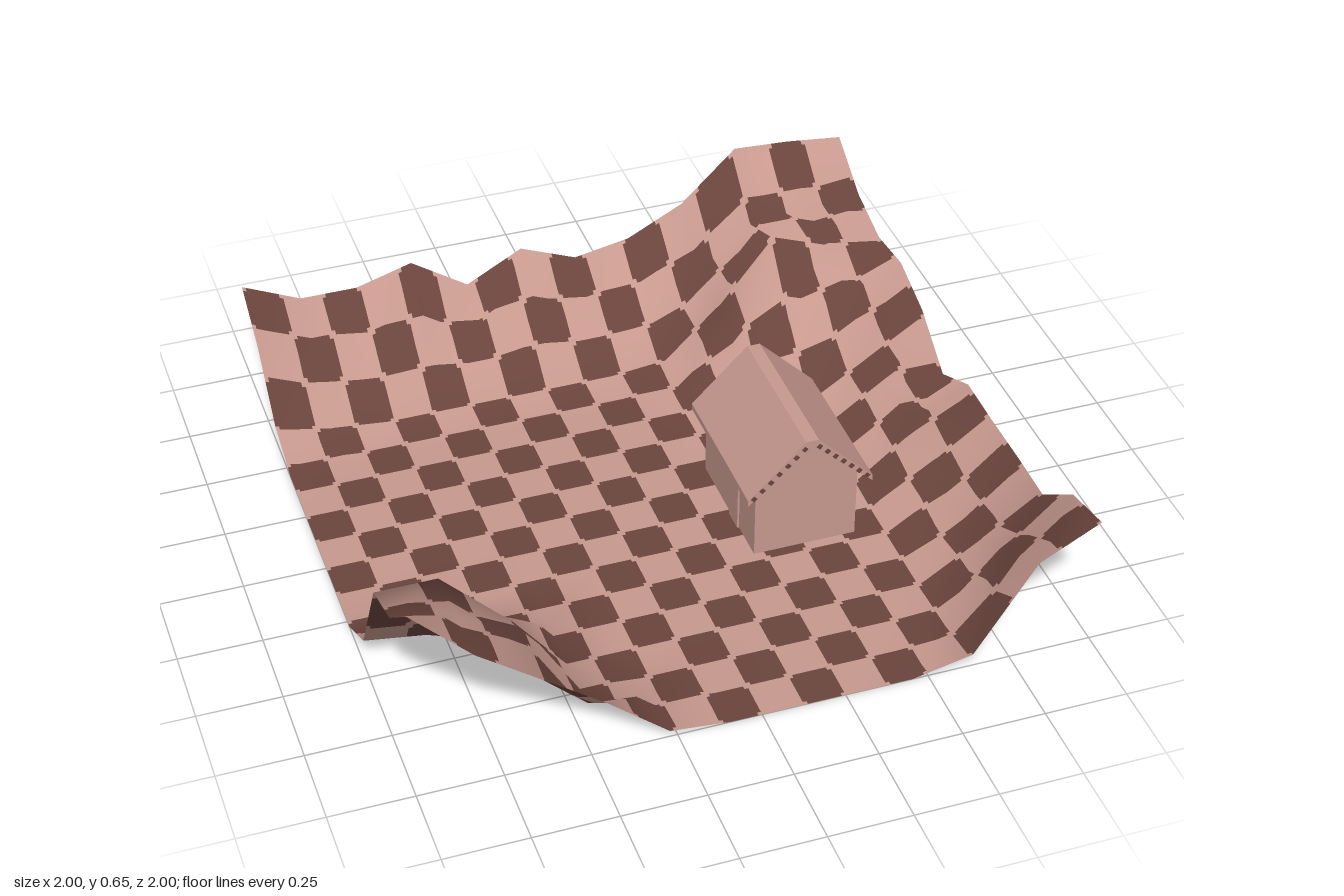
import * as THREE from 'three';

const material = (name, color, side = THREE.FrontSide) => {
  const m = new THREE.MeshStandardMaterial({ color, side });
  m.name = name;
  return m;
};

// Ground heights: 12 rows from back (z = -1) to front, 12 columns from x = -1 to 1
const N = 11;
const HEIGHTS = [
  [.345, .26, .26, .315, .19, .29, .215, .25, .345, .52, .51, .49],
  [.24, .16, .13, .14, .11, .14, .11, .12, .20, .36, .36, .38],
  [.06, .02, 0, 0, 0, 0, 0, .02, .20, .43, .36, .33],
  [0, 0, 0, 0, 0, 0, 0, 0, .11, .22, .27, .35],
  [0, 0, 0, 0, 0, 0, 0, 0, .03, .05, .17, .29],
  [0, 0, 0, 0, 0, 0, 0, 0, .03, .04, .17, .17],
  [0, 0, 0, 0, 0, 0, 0, 0, .01, .01, .16, .26],
  [0, 0, 0, 0, 0, 0, 0, 0, 0, 0, .12, .255],
  [.1, .07, 0, 0, 0, 0, 0, 0, 0, 0, .09, .255],
  [.43, .43, .24, 0, 0, 0, 0, 0, 0, 0, .12, .25],
  [.49, .45, .34, .02, 0, 0, 0, 0, 0, .01, .22, .39],
  [.65, .46, .32, .18, .02, 0, 0, 0, 0, .04, .33, .43],
];

function createGround(materials) {
  // Coarse surface supplies heights and smooth normals
  const coarse = new THREE.PlaneGeometry(2, 2, N, N).rotateX(-Math.PI / 2);
  const cp = coarse.attributes.position;
  HEIGHTS.flat().forEach((h, i) => cp.setY(i, h));
  coarse.computeVertexNormals();
  const cn = coarse.attributes.normal;
  const corner = (i, j) => {
    const k = j * (N + 1) + i;
    return [cp.getY(k), cn.getX(k), cn.getY(k), cn.getZ(k)];
  };
  const sample = (u, v) => {
    const i = Math.min(Math.floor(u), N - 1), j = Math.min(Math.floor(v), N - 1);
    const s = u - i, t = v - j;
    const b = corner(i, j + 1), d = corner(i + 1, j);
    if (s + t <= 1) {
      const a = corner(i, j);
      return a.map((q, k) => q + s * (d[k] - q) + t * (b[k] - q));
    }
    const c = corner(i + 1, j + 1);
    return c.map((q, k) => q + (1 - s) * (b[k] - q) + (1 - t) * (d[k] - q));
  };

  // Fine grid lines up with both the coarse squares and the 16 x 16 checks
  const CHECKS = 16, SUB = 11, M = CHECKS * SUB;
  const positions = [], normals = [], light = [], dark = [];
  for (let j = 0; j <= M; j++) {
    for (let i = 0; i <= M; i++) {
      const [h, nx, ny, nz] = sample(i / CHECKS, j / CHECKS);
      positions.push(-1 + 2 * i / M, h, -1 + 2 * j / M);
      const l = Math.hypot(nx, ny, nz);
      normals.push(nx / l, ny / l, nz / l);
    }
  }
  for (let j = 0; j < M; j++) {
    for (let i = 0; i < M; i++) {
      const odd = (Math.floor(i / SUB) + Math.floor(j / SUB)) % 2;
      const eu = Math.min(i % SUB, SUB - 1 - i % SUB);
      const ev = Math.min(j % SUB, SUB - 1 - j % SUB);
      const list = odd || eu + ev < 1 ? light : dark; // dark checks lose their corners
      const a = j * (M + 1) + i, b = a + M + 1;
      list.push(a, b, a + 1, b, b + 1, a + 1);
    }
  }
  const g = new THREE.BufferGeometry();
  g.setAttribute('position', new THREE.Float32BufferAttribute(positions, 3));
  g.setAttribute('normal', new THREE.Float32BufferAttribute(normals, 3));
  g.setIndex([...light, ...dark]);
  g.addGroup(0, light.length, 0);
  g.addGroup(light.length, dark.length, 1);
  const mesh = new THREE.Mesh(g, materials);
  mesh.name = 'checkedGround';
  return mesh;
}

function createHouse(pale, brown) {
  const house = new THREE.Group();
  house.name = 'house';
  const add = (name, geometry, mat) => {
    const mesh = new THREE.Mesh(geometry, mat);
    mesh.name = name;
    house.add(mesh);
  };
  const extrude = (points, depth, z) => new THREE.ExtrudeGeometry(
    new THREE.Shape(points.map(p => new THREE.Vector2(...p))),
    { depth, bevelEnabled: false }).translate(0, 0, z);

  // Gabled walls
  add('walls', extrude([[-.16, 0], [.16, 0], [.16, .24], [0, .39], [-.16, .24]], .43, -.215), pale);
  // Roof with overhanging eaves and gables
  add('roof', extrude([[-.195, .215], [0, .39], [.195, .215], [.195, .235], [.02, .41],
    [-.02, .41], [-.195, .235]], .495, -.2475), pale);
  // Side door
  add('door', new THREE.BoxGeometry(.008, .17, .07).translate(-.162, .085, .05), pale);
  // Dark dashes along the sloping roof edges, front and back
  for (const end of [-1, 1]) {
    for (const side of [-1, 1]) {
      for (let k = 0; k < 7; k++) {
        const t = (k + .5) / 7;
        add('roofEdgeDash', new THREE.BoxGeometry(.014, .014, .004)
          .rotateZ(-side * .76)
          .translate(side * (.19 - .18 * t), .227 + .17 * t, end * .248), brown);
      }
    }
  }

  house.position.set(.378, 0, .128);
  return house;
}

export function createModel() {
  const pale = material('pale pink', 0xc6988e, THREE.DoubleSide);
  const brown = material('dark brown', 0x6a443c, THREE.DoubleSide);
  const model = new THREE.Group();
  model.name = 'valleyWithHouse';
  model.add(createGround([pale, brown]), createHouse(pale, brown));
  return model;
}
